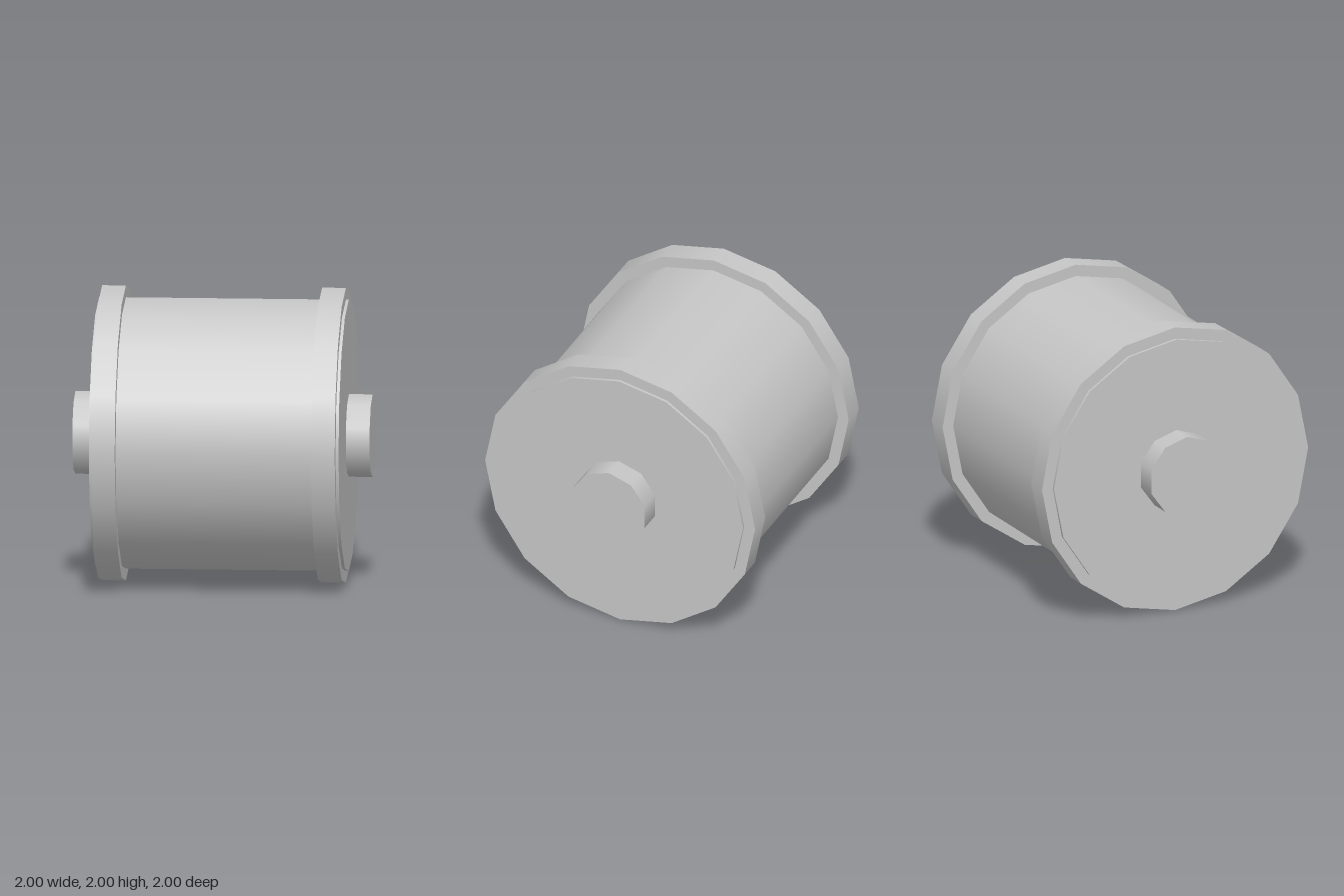
import * as THREE from 'three';

export function createModel() {
  const group = new THREE.Group();
  const grey = new THREE.MeshStandardMaterial({ color: 0xc6c6c6 });
  grey.name = 'light grey';

  // Cylinder lying along x, with a corner pointing straight up
  function drum(name, radius, length, sides, x = 0) {
    const geometry = new THREE.CylinderGeometry(radius, radius, length, sides, 1, false, Math.PI / 2);
    geometry.rotateZ(Math.PI / 2);
    const mesh = new THREE.Mesh(geometry, grey);
    mesh.name = name;
    mesh.position.set(x, 1, 0);
    group.add(mesh);
  }

  // Main barrel and the axle running through it
  drum('barrel', 0.92, 1.68, 16);
  drum('axle', 0.28, 2, 10);

  // Raised rims near both ends
  for (const side of [-1, 1]) {
    drum(side > 0 ? 'leftRim' : 'rightRim', 1, 0.16, 16, side * 0.74);
  }

  return group;
}
